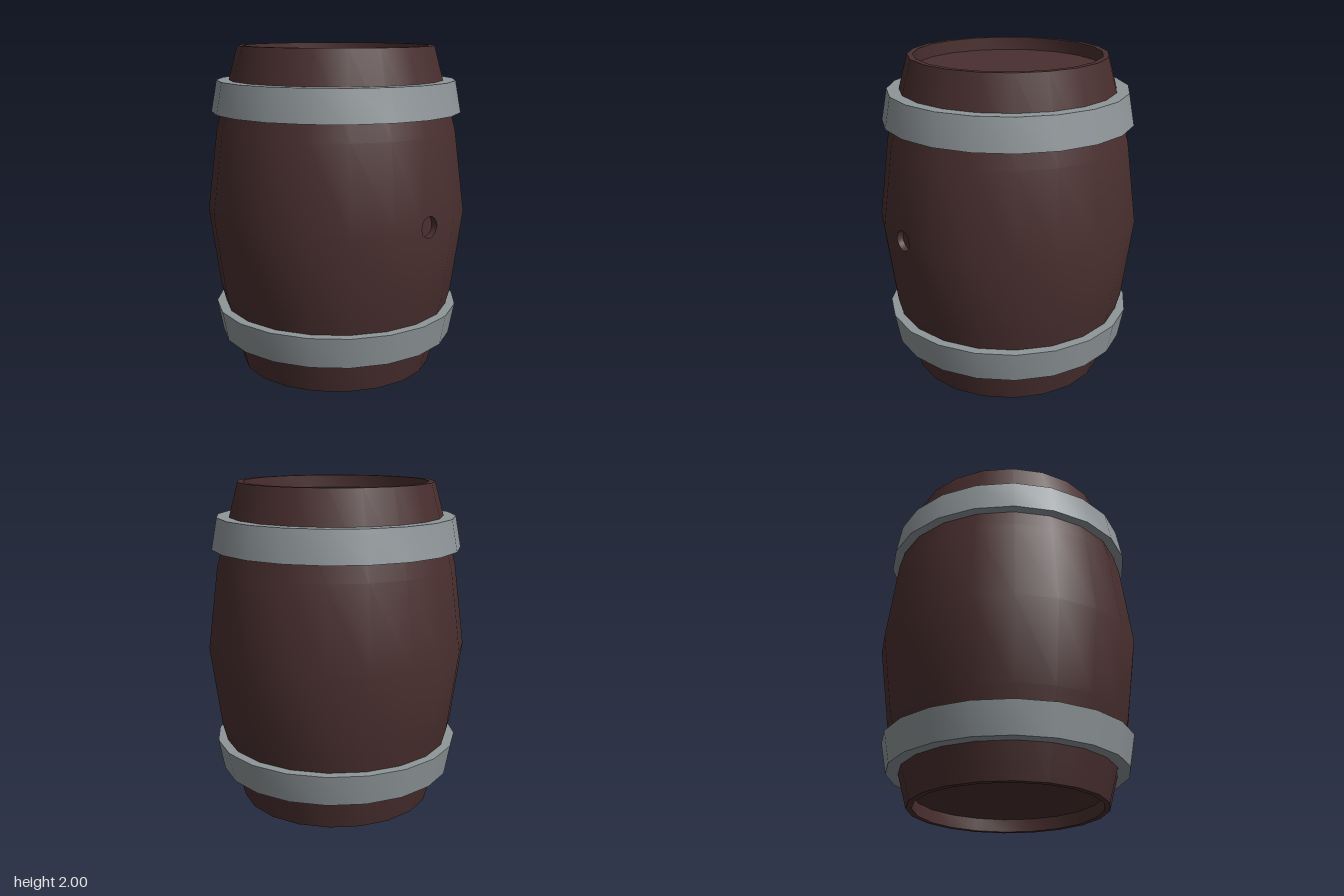
import * as THREE from 'three';
import { toCreasedNormals } from 'three/addons/utils/BufferGeometryUtils.js';

const SIDES = 20;
const STEP = (Math.PI * 2) / SIDES;
const HOLE = 0.063; // bung hole radius
const wood = new THREE.MeshStandardMaterial({ color: 0x4a2f2f });
wood.name = 'darkWood';
const metal = new THREE.MeshStandardMaterial({ color: 0x8f9699 });
metal.name = 'greyMetal';

const PROFILE = [[0.6, 0], [0.735, 0.5], [0.8, 1], [0.735, 1.5], [0.6, 2]];
const points = (list) => list.map(([x, y]) => new THREE.Vector2(x, y));

// Depth of the front wall near the bung hole (0.5 <= y <= 1.5)
const frontZ = (x, y) => 0.8 - 0.13 * Math.abs(y - 1) - Math.abs(x) * Math.tan(STEP / 2);

function add(group, name, geometry, material) {
  const mesh = new THREE.Mesh(geometry, material);
  mesh.name = name;
  group.add(mesh);
}

const creasedLathe = (list) => toCreasedNormals(new THREE.LatheGeometry(points(list), SIDES), 0.6);

// Bulging wall, leaving out the four faces around the bung hole
function wallGeometry() {
  const geometry = new THREE.LatheGeometry(points(PROFILE), SIDES);
  const old = geometry.index.array;
  const rows = PROFILE.length - 1;
  const kept = [];
  for (let i = 0; i < SIDES; i++) {
    for (let j = 0; j < rows; j++) {
      if ((i === 0 || i === SIDES - 1) && (j === 1 || j === 2)) continue;
      const start = (i * rows + j) * 6;
      kept.push(...old.slice(start, start + 6));
    }
  }
  geometry.setIndex(kept);
  return geometry;
}

// One quarter of the wall around the hole, with a notch for the hole
function quarterPanel(sx, sy) {
  const s = Math.sin(STEP);
  const outline = [[0.8 * s * sx, 1], [0.735 * s * sx, 1 + 0.5 * sy], [0, 1 + 0.5 * sy]];
  for (let k = 5; k >= 0; k--) {
    const a = (k / 5) * Math.PI / 2;
    outline.push([sx * HOLE * Math.cos(a), 1 + sy * HOLE * Math.sin(a)]);
  }
  const geometry = new THREE.ShapeGeometry(new THREE.Shape(points(outline)));
  const { position, normal } = geometry.attributes;
  const n = new THREE.Vector3();
  for (let i = 0; i < position.count; i++) {
    const x = position.getX(i), y = position.getY(i), z = frontZ(x, y);
    position.setZ(i, z);
    const r = Math.hypot(x, z);
    n.set(x / r, (y - 1) * 0.4, z / r).normalize();
    normal.setXYZ(i, n.x, n.y, n.z);
  }
  return geometry;
}

// Shallow round pocket whose mouth follows the wall
function pocketGeometry() {
  const geometry = new THREE.LatheGeometry(points([[HOLE, 1], [HOLE, 0.75], [0, 0.75]]), 20);
  geometry.rotateX(Math.PI / 2).translate(0, 1, 0);
  const p = geometry.attributes.position;
  for (let i = 0; i < p.count; i++) {
    if (p.getZ(i) > 0.9) p.setZ(i, frontZ(p.getX(i), p.getY(i)));
  }
  return toCreasedNormals(geometry, 0.6);
}

export function createModel() {
  const barrel = new THREE.Group();
  barrel.name = 'barrel';

  add(barrel, 'wall', wallGeometry(), wood);
  for (const sx of [-1, 1]) {
    for (const sy of [-1, 1]) add(barrel, 'bungPanel', quarterPanel(sx, sy), wood);
  }
  add(barrel, 'bungHole', pocketGeometry(), wood);

  // Rims with sunken lids, and hoops that taper toward both ends
  const rim = [[0.6, 2], [0.565, 2], [0.565, 1.92], [0, 1.92]];
  const hoop = [[0.64, 1.605], [0.765, 1.605], [0.73, 1.795], [0.64, 1.795]];
  const flip = (list) => list.map(([x, y]) => [x, 2 - y]).reverse();
  add(barrel, 'topLid', creasedLathe(rim), wood);
  add(barrel, 'bottomLid', creasedLathe(flip(rim)), wood);
  add(barrel, 'upperHoop', creasedLathe(hoop), metal);
  add(barrel, 'lowerHoop', creasedLathe(flip(hoop)), metal);

  return barrel;
}
